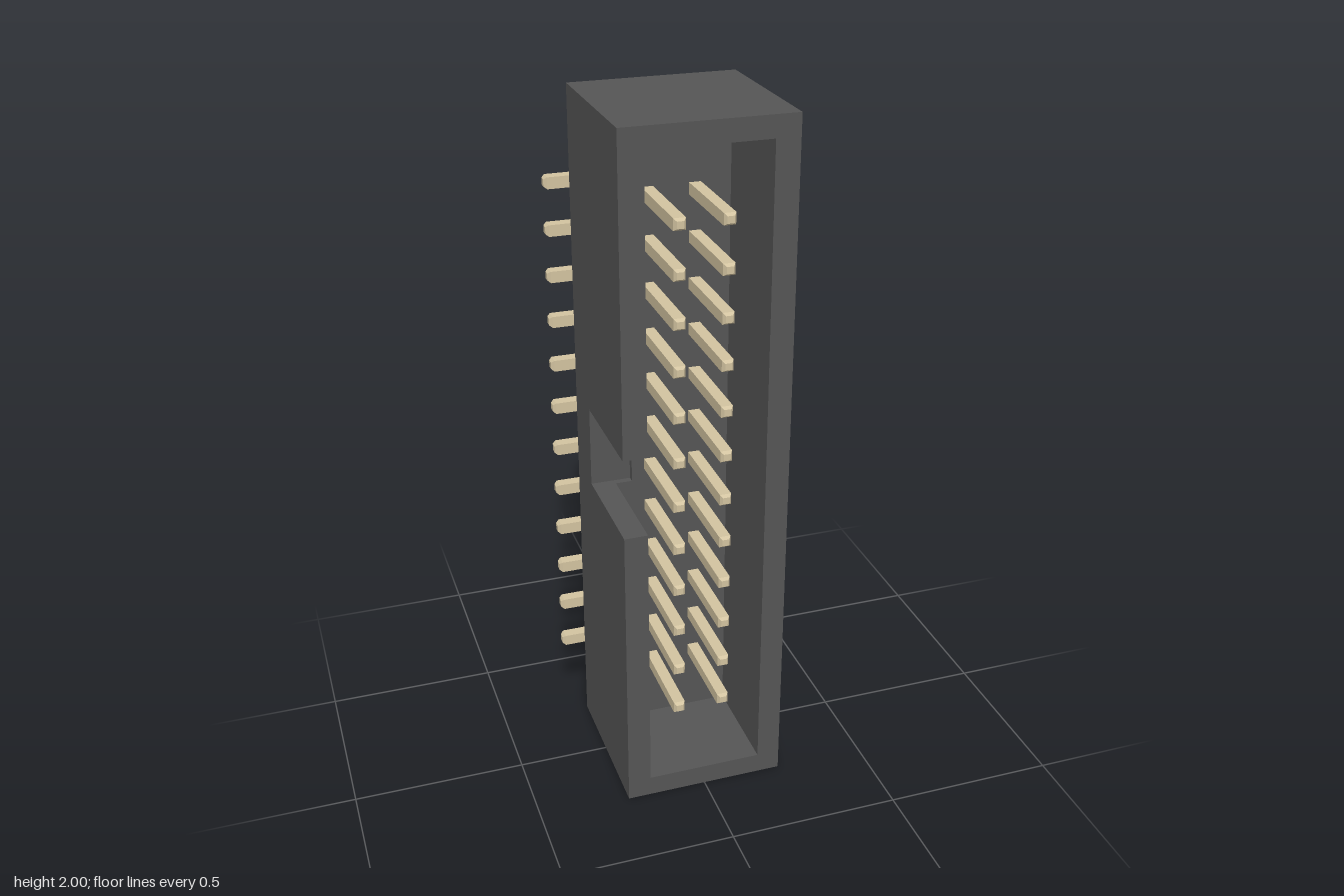
import * as THREE from 'three';
import { mergeGeometries } from 'three/addons/utils/BufferGeometryUtils.js';

const HALF = 0.235, BACK = -0.22, FRONT = 0.25;
const NOTCH_FLOOR = -0.08, CAVITY_FLOOR = -0.06;
const NOTCH_LOW = 0.885, NOTCH_HIGH = 1.12;
const PIN = 0.033, ROWS = 12, PITCH = 0.1335, FIRST_ROW = 0.267;

const housingMaterial = new THREE.MeshStandardMaterial({ color: 0x555555 });
const pinMaterial = new THREE.MeshStandardMaterial({ color: 0xd2c3a0 });

// Extrudes an outline in x, y from one z level to another
function slab(points, z0, z1) {
  const shape = new THREE.Shape(points.map(([x, y]) => new THREE.Vector2(x, y)));
  const geometry = new THREE.ExtrudeGeometry(shape, { depth: z1 - z0, bevelEnabled: false });
  return geometry.translate(0, 0, z0);
}

// Short tapered pin end, pointing up its own y axis
function taperedTip(length) {
  const r = PIN / Math.SQRT2;
  return new THREE.CylinderGeometry(r * 0.6, r, length, 4, 1).toNonIndexed()
    .rotateY(Math.PI / 4).translate(0, length / 2, 0);
}

// Bent pin: straight contact through the housing and a leg lying along the back
function pinGeometry(side) {
  const inner = 0.05, outer = inner + PIN, tip = 0.009;
  const legEnd = 0.305 - tip, contactEnd = 0.22 - tip;
  const low = BACK - PIN, bend = 0.03;
  const shape = new THREE.Shape();
  shape.moveTo(side * inner, contactEnd);
  shape.lineTo(side * inner, low + bend);
  for (let i = 1; i <= 8; i++) {
    const a = (i / 8) * Math.PI / 2;
    shape.lineTo(side * (inner + bend * (1 - Math.cos(a))), low + bend * (1 - Math.sin(a)));
  }
  shape.lineTo(side * legEnd, low);
  shape.lineTo(side * legEnd, BACK);
  shape.lineTo(side * outer, BACK);
  shape.lineTo(side * outer, contactEnd);
  const body = new THREE.ExtrudeGeometry(shape, { depth: PIN, bevelEnabled: false })
    .rotateX(Math.PI / 2).translate(0, PIN / 2, 0);
  const contactTip = taperedTip(tip).rotateX(Math.PI / 2)
    .translate(side * (inner + PIN / 2), 0, contactEnd);
  const legTip = taperedTip(tip).rotateZ(-side * Math.PI / 2)
    .translate(side * legEnd, 0, BACK - PIN / 2);
  const geometry = mergeGeometries([body, contactTip, legTip]);
  geometry.computeVertexNormals();
  return geometry;
}

export function createModel() {
  const model = new THREE.Group();
  const add = (name, geometry, material, parent = model) => {
    const mesh = new THREE.Mesh(geometry, material);
    mesh.name = name;
    parent.add(mesh);
    return mesh;
  };

  const housing = new THREE.Group();
  housing.name = 'housing';
  model.add(housing);

  // Solid base, then a floor layer cut by the key notch
  add('housingBase', slab([[-HALF, 0], [HALF, 0], [HALF, 2], [-HALF, 2]], BACK, NOTCH_FLOOR),
    housingMaterial, housing);
  const notchX = -0.12;
  add('housingFloor', slab([
    [-HALF, 0], [HALF, 0], [HALF, 2], [-HALF, 2],
    [-HALF, NOTCH_HIGH], [notchX, NOTCH_HIGH], [notchX, NOTCH_LOW], [-HALF, NOTCH_LOW],
  ], NOTCH_FLOOR, CAVITY_FLOOR), housingMaterial, housing);

  // Shroud wall around the cavity, open at the notch
  const inX = 0.168, inLow = 0.06, inHigh = 1.94;
  add('shroudWall', slab([
    [-HALF, 0], [HALF, 0], [HALF, 2], [-HALF, 2],
    [-HALF, NOTCH_HIGH], [-inX, NOTCH_HIGH], [-inX, inHigh], [inX, inHigh],
    [inX, inLow], [-inX, inLow], [-inX, NOTCH_LOW], [-HALF, NOTCH_LOW],
  ], CAVITY_FLOOR, FRONT), housingMaterial, housing);

  // Two mirrored columns of bent pins
  for (const side of [-1, 1]) {
    const column = new THREE.Group();
    column.name = side > 0 ? 'leftPins' : 'rightPins';
    model.add(column);
    const geometry = pinGeometry(side);
    for (let i = 0; i < ROWS; i++) {
      add('pin', geometry, pinMaterial, column).position.y = FIRST_ROW + i * PITCH;
    }
  }
  return model;
}
